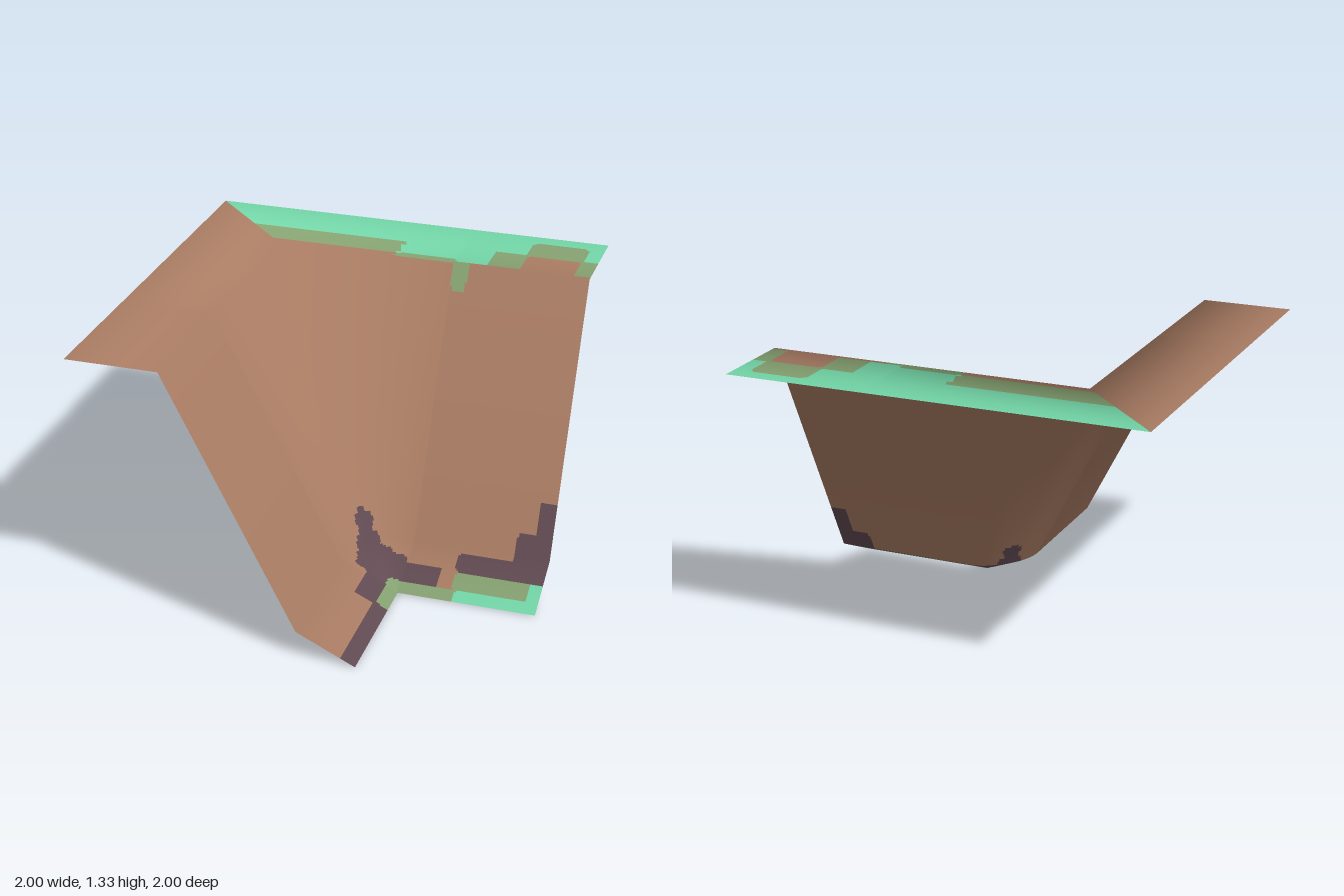
import * as THREE from 'three';

const C = 1 / 3; // plan position of the foot of the inner corner

// Section of the slope: distance out from the foot, height, smooth normal (out, up)
const PROFILE = [
  { d: 0, h: 0, n: [-0.43, 0.9] },
  { d: 0.28, h: 0.133, n: [-0.83, 0.56] },
  { d: 0.893, h: 1.333, n: [-0.75, 0.66] },
  { d: 4 / 3, h: 1.333, n: [0, 1] },
];
const ROWS = [28, 60, 44];
const COLS = 66;

// Painted areas in plan: x0, x1, z0, z1. Later layers cover earlier ones.
const EARTH = 0, GRASS = 1, WORN = 2, DAMP = 3;
const LAYERS = [
  [GRASS, [[-1, 0.33, -1, -0.6], [0.03, 1.1, -1.1, -0.58]]],
  [WORN, [
    [-1, 0.04, -0.75, -0.6], [0.03, 0.34, -0.605, -0.56], [0.335, 0.41, -0.58, -0.5],
    [0.49, 1.1, -0.76, -0.58], [0.65, 0.925, -0.915, -0.58],
  ]],
  [EARTH, [[0.66, 0.915, -0.75, -0.56]]],
  [DAMP, [
    [0.05, 0.13, 0.05, 0.13], [0.08, 0.18, 0.09, 0.2], [0.1, 0.25, 0.12, 0.25],
    [0.11, 0.33, 0.14, 0.3], [0.17, 0.4, 0.17, 0.4], [0.3, 0.505, 0.17, 0.3],
    [0.17, 0.3, 0.2, 0.505], [0.265, 0.4, 0.3, 1.1],
    [0.57, 1.1, 0.08, 0.18], [0.83, 1.1, 0, 0.18], [0.915, 1.1, -0.07, 0.18],
  ]],
  [WORN, [[0.27, 0.66, 0.27, 0.4], [0.275, 0.4, 0.27, 0.49], [0.58, 0.94, 0.18, 0.28]]],
  [GRASS, [[0.6, 1.1, 0.27, 0.4], [0.94, 1.1, 0.18, 0.4]]],
];

// Rounded rectangle test
function inside(x, z, [x0, x1, z0, z1]) {
  const r = 0.02;
  const qx = Math.abs(x - (x0 + x1) / 2) - (x1 - x0) / 2 + r;
  const qz = Math.abs(z - (z0 + z1) / 2) - (z1 - z0) / 2 + r;
  return Math.hypot(Math.max(qx, 0), Math.max(qz, 0)) + Math.min(Math.max(qx, qz), 0) < r;
}

function paintAt(x, z) {
  let paint = EARTH;
  for (const [colour, rects] of LAYERS) {
    if (rects.some((r) => inside(x, z, r))) paint = colour;
  }
  // the left arm of the rim is bare earth beyond the mitre
  return z < -0.4 && z > x ? EARTH : paint;
}

// Plan offset for each kind of section: [outward x, outward z, along x, along z]
const backWall = (t) => ({ dir: () => [0, 1], along: [t * 2 / 3, 0], facing: [0, 1] });
const sideWall = (t) => ({ dir: () => [1, 0], along: [0, t * 2 / 3], facing: [1, 0] });
// The corner is round at the foot and square at the rim
const corner = (t) => {
  const a = t * Math.PI / 2, c = Math.cos(a), s = Math.sin(a), m = Math.max(c, s);
  const b = 0.15 + t * (Math.PI / 2 - 0.3);
  return {
    dir: (ring) => (ring < 2 ? [c, s] : [c / m, s / m]),
    along: [0, 0],
    facing: [Math.cos(b), Math.sin(b)],
  };
};

function buildSection(section, name, materials) {
  const pos = [], nor = [];
  const rows = [];
  ROWS.forEach((n, ring) => {
    for (let k = 0; k < n; k++) rows.push([ring, k / n]);
  });
  rows.push([ROWS.length - 1, 1]);

  for (const [ring, f] of rows) {
    const p = PROFILE[ring], q = PROFILE[ring + 1];
    for (let i = 0; i <= COLS; i++) {
      const { dir, along, facing } = section(i / COLS);
      const A = dir(ring), B = dir(ring + 1);
      const ox = THREE.MathUtils.lerp(A[0] * p.d, B[0] * q.d, f);
      const oz = THREE.MathUtils.lerp(A[1] * p.d, B[1] * q.d, f);
      pos.push(C - ox + along[0], THREE.MathUtils.lerp(p.h, q.h, f), C - oz + along[1]);
      const out = THREE.MathUtils.lerp(p.n[0], q.n[0], f);
      const up = THREE.MathUtils.lerp(p.n[1], q.n[1], f);
      const v = new THREE.Vector3(-out * facing[0], up, -out * facing[1]).normalize();
      nor.push(v.x, v.y, v.z);
    }
  }

  // Sort the cells by colour; every face looks upward
  const faces = materials.map(() => []);
  const X = (i) => pos[i * 3], Z = (i) => pos[i * 3 + 2];
  for (let r = 0; r < rows.length - 1; r++) {
    for (let i = 0; i < COLS; i++) {
      const a = r * (COLS + 1) + i, b = a + 1, c = a + COLS + 1, d = c + 1;
      const list = faces[paintAt((X(a) + X(b) + X(c) + X(d)) / 4, (Z(a) + Z(b) + Z(c) + Z(d)) / 4)];
      for (const [e, f, g] of [[a, b, d], [a, d, c]]) {
        const ny = (Z(f) - Z(e)) * (X(g) - X(e)) - (X(f) - X(e)) * (Z(g) - Z(e));
        if (ny >= 0) list.push(e, f, g);
        else list.push(e, g, f);
      }
    }
  }

  const geometry = new THREE.BufferGeometry();
  geometry.setAttribute('position', new THREE.Float32BufferAttribute(pos, 3));
  geometry.setAttribute('normal', new THREE.Float32BufferAttribute(nor, 3));
  geometry.setIndex(faces.flat());
  let start = 0;
  faces.forEach((list, m) => {
    if (list.length) geometry.addGroup(start, list.length, m);
    start += list.length;
  });
  const mesh = new THREE.Mesh(geometry, materials);
  mesh.name = name;
  return mesh;
}

export function createModel() {
  const material = (name, color) => {
    const m = new THREE.MeshStandardMaterial({ color, side: THREE.DoubleSide });
    m.name = name;
    return m;
  };
  const materials = [
    material('earth brown', 0xa87b62),
    material('grass green', 0x72d4a6),
    material('worn grass olive', 0x84a070),
    material('damp earth purple', 0x614a52),
  ];
  const group = new THREE.Group();
  group.name = 'cliffCorner';
  group.add(
    buildSection(backWall, 'backSlope', materials),
    buildSection(sideWall, 'sideSlope', materials),
    buildSection(corner, 'cornerSlope', materials),
  );
  return group;
}
